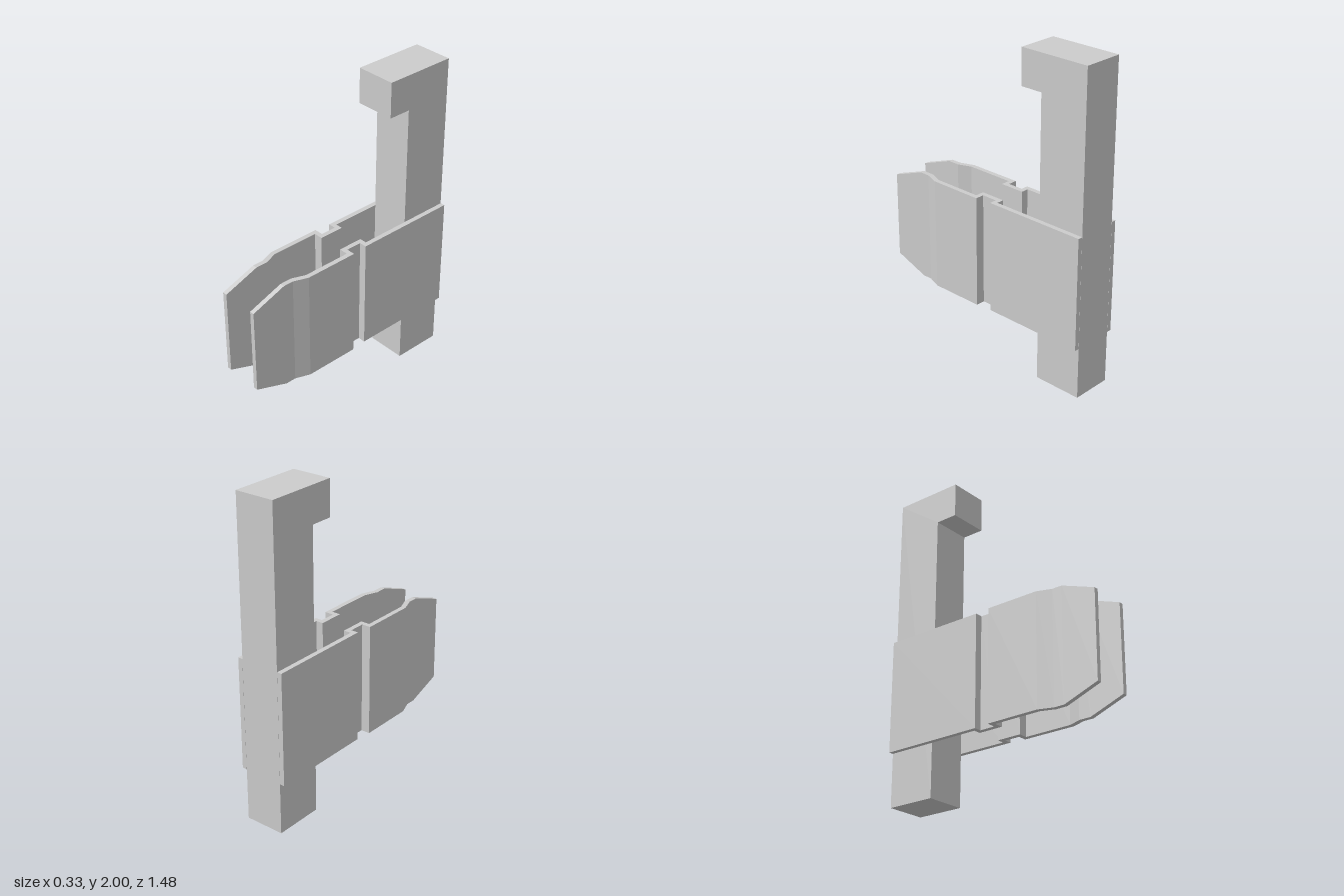
import * as THREE from 'three';

const material = new THREE.MeshStandardMaterial({ color: 0xcccccc, flatShading: true });

// Bent plate: four-cornered sections swept along z, centred on y = 0
function bentPlate() {
  // [outer x, outer z, inner x, inner z, half height]
  const sections = [
    [0.157, -0.74, 0.127, -0.74, 0.352],
    [0.157, -0.08, 0.127, -0.11, 0.352],
    [0.11, -0.08, 0.08, -0.11, 0.352],
    [0.11, 0.02, 0.08, 0.05, 0.352],
    [0.167, 0.02, 0.137, 0.05, 0.352],
    [0.167, 0.365, 0.137, 0.36, 0.352],
    [0.134, 0.455, 0.105, 0.445, 0.352],
    [0.134, 0.52, 0.105, 0.52, 0.352],
    [0.134, 0.74, 0.105, 0.74, 0.272],
  ];
  const rings = sections.map(([ox, oz, ix, iz, h]) => [
    [ox, h, oz], [ix, h, iz], [ix, -h, iz], [ox, -h, oz],
  ]);
  const pos = [];
  const quad = (a, b, c, d) => pos.push(...a, ...b, ...c, ...a, ...c, ...d);
  for (let k = 0; k < rings.length - 1; k++) {
    const p = rings[k], q = rings[k + 1];
    for (let i = 0; i < 4; i++) {
      const j = (i + 1) % 4;
      quad(p[i], p[j], q[j], q[i]);
    }
  }
  quad(...rings[rings.length - 1]);
  quad(...[...rings[0]].reverse());
  const geometry = new THREE.BufferGeometry();
  geometry.setAttribute('position', new THREE.Float32BufferAttribute(pos, 3));
  geometry.computeVertexNormals();
  return geometry;
}

// Upright post with a forward hook, drawn in the z-y plane
function hookedPost() {
  const width = 0.252;
  const profile = [[-0.74, 0], [-0.43, 0], [-0.43, 1.78], [-0.287, 1.78], [-0.287, 2], [-0.74, 2]];
  const shape = new THREE.Shape(profile.map(([z, y]) => new THREE.Vector2(z, y)));
  return new THREE.ExtrudeGeometry(shape, { depth: width, bevelEnabled: false })
    .translate(0, 0, -width / 2)
    .rotateY(-Math.PI / 2);
}

export function createModel() {
  const model = new THREE.Group();
  model.name = 'clipOnPost';

  const post = new THREE.Mesh(hookedPost(), material);
  post.name = 'hookedPost';
  model.add(post);

  // The plate is symmetric in y, so a half turn about z mirrors it
  const plate = bentPlate();
  for (const [name, turn] of [['leftPlate', 0], ['rightPlate', Math.PI]]) {
    const mesh = new THREE.Mesh(plate, material);
    mesh.name = name;
    mesh.position.y = 0.68;
    mesh.rotation.z = turn;
    model.add(mesh);
  }
  return model;
}
